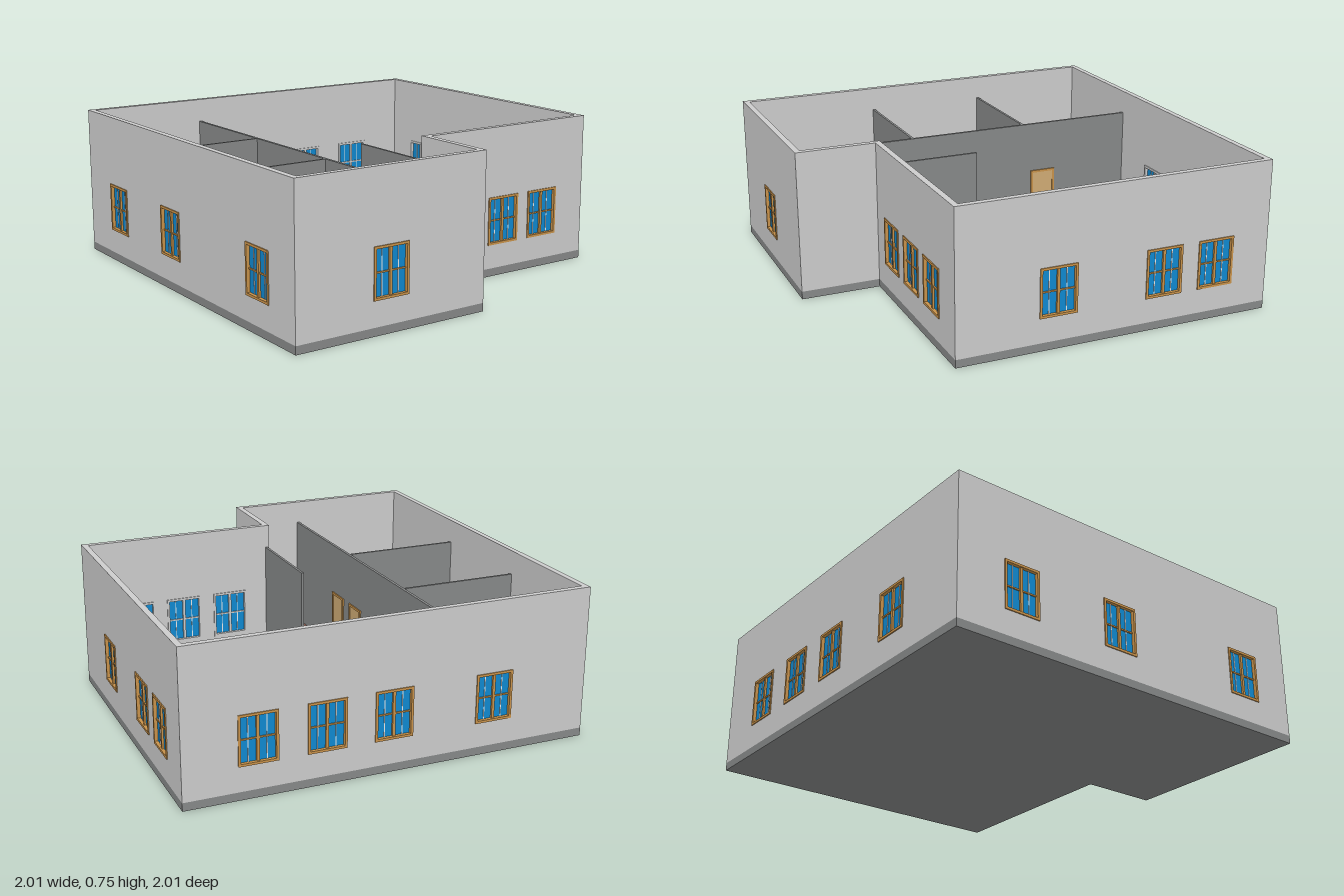
import * as THREE from 'three';

const mat = (name, color) => Object.assign(new THREE.MeshStandardMaterial({ color }), { name });

export function createModel() {
  const M = {
    wall: mat('wall', 0xcccccc), grey: mat('grey', 0x868888), floor: mat('floor', 0x8a5c4f),
    wood: mat('window wood', 0xc8924a), glass: mat('glass', 0x0f88cf), white: mat('white', 0xeeeeee),
    pale: mat('pale wood', 0xcfab74), black: mat('black', 0x121212),
  };
  const house = new THREE.Group();
  house.name = 'house';

  const group = (name, parent = house) => {
    const g = new THREE.Group();
    g.name = name;
    parent.add(g);
    return g;
  };
  // box given by its lower and upper corner
  const box = (parent, name, m, x0, x1, y0, y1, z0, z1) => {
    const mesh = new THREE.Mesh(new THREE.BoxGeometry(x1 - x0, y1 - y0, z1 - z0), m);
    mesh.position.set((x0 + x1) / 2, (y0 + y1) / 2, (z0 + z1) / 2);
    mesh.name = name;
    parent.add(mesh);
    return mesh;
  };

  // L-shaped slab, i = inset from the outer outline
  const slab = (name, m, i, y0, y1) => {
    const pts = [[-1 + i, -1 + i], [1 - i, -1 + i], [1 - i, 0.6 - i], [0.01 - i, 0.6 - i], [0.01 - i, 1 - i], [-1 + i, 1 - i]];
    const s = new THREE.Shape(pts.map(([x, z]) => new THREE.Vector2(x, -z)));
    const g = new THREE.ExtrudeGeometry(s, { depth: y1 - y0, bevelEnabled: false });
    g.rotateX(-Math.PI / 2);
    g.translate(0, y0, 0);
    const mesh = new THREE.Mesh(g, m);
    mesh.name = name;
    house.add(mesh);
  };
  slab('foundation', M.grey, 0, 0, 0.04);
  slab('floor', M.floor, 0.025, 0.04, 0.045);

  // Double window with wooden frame outside and pale frame inside
  const W = 0.09, Y0 = 0.165, Y1 = 0.4, T = 0.03;
  const addWindow = (parent, cx) => {
    const w = group('window', parent);
    w.position.x = cx;
    box(w, 'glass', M.glass, -W, W, Y0, Y1, -0.018, -0.012);
    const frame = (name, m, x0, x1, y0, y1, t, z0, z1) => {
      box(w, name, m, x0, x0 + t, y0, y1, z0, z1);
      box(w, name, m, x1 - t, x1, y0, y1, z0, z1);
      box(w, name, m, x0 + t, x1 - t, y0, y0 + t, z0, z1);
      box(w, name, m, x0 + t, x1 - t, y1 - t, y1, z0, z1);
    };
    frame('outerFrame', M.wood, -W - 0.004, W + 0.004, Y0 - 0.004, Y1 + 0.002, 0.012, -0.012, 0.005);
    frame('innerFrame', M.wall, -W - 0.004, W + 0.004, Y0 - 0.004, Y1 + 0.002, 0.012, -0.035, -0.018);
    box(w, 'centrePost', M.wood, -0.007, 0.007, Y0, Y1, -0.012, -0.002);
    box(w, 'innerPost', M.wall, -0.007, 0.007, Y0, Y1, -0.028, -0.018);
    for (const s of [-1, 1]) {
      const xs = [s * 0.007, s * W].sort((a, b) => a - b);
      box(w, 'crossBar', M.wood, xs[0], xs[1], 0.278, 0.285, -0.012, -0.006);
      box(w, 'innerCrossBar', M.wall, xs[0], xs[1], 0.278, 0.285, -0.024, -0.018);
      box(w, 'paneBar', M.white, s * 0.044 - 0.002, s * 0.044 + 0.002, Y0, Y1, -0.02, -0.009);
    }
  };

  // Outer wall with window openings; local +z points outward
  const wall = (name, len, x, z, turn, windows = []) => {
    const g = group(name);
    g.position.set(x, 0, z);
    g.rotation.y = turn * Math.PI / 2;
    const rect = (P, x0, x1, y0, y1) => {
      const p = new P();
      p.moveTo(x0, y0); p.lineTo(x1, y0); p.lineTo(x1, y1); p.lineTo(x0, y1); p.closePath();
      return p;
    };
    const shape = rect(THREE.Shape, -len / 2, len / 2, 0.04, 0.75);
    for (const c of windows) {
      shape.holes.push(rect(THREE.Path, c - W, c + W, Y0, Y1));
      addWindow(g, c);
    }
    const geo = new THREE.ExtrudeGeometry(shape, { depth: T, bevelEnabled: false });
    geo.translate(0, 0, -T);
    const mesh = new THREE.Mesh(geo, M.wall);
    mesh.name = 'wallPanel';
    g.add(mesh);
  };
  wall('frontWall', 1.01, -0.495, 1, 0, [-0.015]);
  wall('recessedFrontWall', 1.02, 0.49, 0.6, 0, [-0.28, -0.02, 0.235]);
  wall('recessSideWall', 0.42, 0.01, 0.79, 1);
  wall('leftWall', 1.6, 1, -0.2, 1, [-0.3, 0.24, 0.515]);
  wall('backWall', 2, 0, -1, 2, [0.51, 0, -0.325, -0.65]);
  wall('rightWall', 2, -1, 0, -1, [-0.66, -0.1, 0.7]);

  // Inner partitions
  const H = 0.63;
  box(house, 'longPartition', M.grey, -0.365, -0.35, 0.045, H, -0.97, 0.97);
  box(house, 'rearPartition', M.grey, -0.97, -0.365, 0.045, H, -0.366, -0.353);
  box(house, 'middlePartition', M.grey, -0.97, -0.365, 0.045, H, 0.264, 0.277);
  box(house, 'hallPartition', M.grey, -0.011, 0.002, 0.045, H, 0.065, 0.57);

  // Doors in the long partition
  for (const z of [-0.475, 0.17, 0.385]) {
    const d = group('door');
    box(d, 'doorLeaf', M.pale, -0.368, -0.347, 0.045, 0.355, z - 0.058, z + 0.058);
    for (const s of [-1, 1]) {
      box(d, 'doorJamb', M.wood, -0.372, -0.343, 0.045, 0.367, z + s * 0.064 - 0.006, z + s * 0.064 + 0.006);
      const knob = new THREE.Mesh(new THREE.SphereGeometry(0.005, 8, 6), M.black);
      knob.position.set(-0.3575 + s * 0.014, 0.19, z + 0.045);
      knob.name = 'doorKnob';
      d.add(knob);
    }
    box(d, 'doorHead', M.wood, -0.372, -0.343, 0.355, 0.367, z - 0.058, z + 0.058);
  }

  // Beds: length along local x, headboard at the low end
  const bed = (x, z, turn) => {
    const b = group('bed');
    b.position.set(x, 0.045, z);
    b.rotation.y = turn;
    box(b, 'bedFrame', M.pale, -0.122, 0.122, 0.02, 0.05, -0.09, 0.09);
    box(b, 'headboard', M.pale, -0.127, -0.12, 0, 0.12, -0.09, 0.09);
    box(b, 'mattress', M.wall, -0.12, 0.121, 0.05, 0.085, -0.086, 0.086);
    box(b, 'pillow', M.wall, -0.118, -0.085, 0.085, 0.1, -0.08, 0.08);
    for (const lx of [-0.11, 0.11]) for (const lz of [-0.08, 0.08])
      box(b, 'bedLeg', M.pale, lx - 0.008, lx + 0.008, 0, 0.02, lz - 0.008, lz + 0.008);
  };
  bed(-0.828, -0.865, 0);
  bed(-0.86, 0.447, -Math.PI / 2);

  // Cabinets in the bedrooms
  box(house, 'dresser', M.wall, -0.96, -0.81, 0.045, 0.19, -0.45, -0.37);
  box(house, 'desk', M.pale, -0.96, -0.8, 0.15, 0.165, 0.86, 0.94);
  for (const x of [-0.96, -0.81]) box(house, 'deskSide', M.pale, x, x + 0.01, 0.045, 0.15, 0.865, 0.935);

  // Kitchen counter, sink and end cabinet
  const k = group('kitchen');
  box(k, 'counter', M.wall, 0.885, 0.968, 0.045, 0.19, -0.885, -0.69);
  box(k, 'endCabinet', M.wall, 0.885, 0.968, 0.045, 0.19, -0.678, -0.61);
  box(k, 'cabinetGap', M.grey, 0.89, 0.968, 0.045, 0.185, -0.69, -0.678);
  box(k, 'sinkRim', M.black, 0.895, 0.94, 0.19, 0.192, -0.752, -0.707);
  box(k, 'sinkBasin', M.wall, 0.899, 0.936, 0.19, 0.193, -0.748, -0.711);
  box(k, 'tap', M.black, 0.922, 0.95, 0.2, 0.204, -0.732, -0.727);
  box(k, 'tapPost', M.black, 0.946, 0.95, 0.19, 0.2, -0.732, -0.727);

  // Sofa with its back towards the rear
  const sofa = group('sofa');
  box(sofa, 'sofaSeat', M.grey, 0.365, 0.612, 0.06, 0.092, 0.05, 0.155);
  box(sofa, 'sofaBack', M.grey, 0.35, 0.627, 0.06, 0.14, 0.04, 0.055);
  box(sofa, 'sofaBackTrim', M.black, 0.365, 0.612, 0.092, 0.11, 0.055, 0.058);
  for (const x of [0.348, 0.612]) {
    box(sofa, 'sofaArm', M.grey, x, x + 0.017, 0.06, 0.115, 0.055, 0.157);
    for (const z of [0.045, 0.15]) box(sofa, 'sofaLeg', M.black, x + 0.003, x + 0.013, 0.045, 0.06, z, z + 0.01);
  }

  // Stools
  for (const x of [0.413, 0.588]) {
    const s = group('stool');
    box(s, 'stoolSeat', M.wall, x - 0.038, x + 0.038, 0.128, 0.142, 0.223, 0.305);
    for (const lx of [x - 0.03, x + 0.03]) for (const lz of [0.231, 0.297])
      box(s, 'stoolLeg', M.wall, lx - 0.005, lx + 0.005, 0.045, 0.128, lz - 0.005, lz + 0.005);
  }

  // Upright piano against the recessed front wall
  const p = group('piano');
  box(p, 'pianoBody', M.black, 0.715, 0.895, 0.045, 0.235, 0.49, 0.53);
  box(p, 'pianoLid', M.black, 0.71, 0.9, 0.235, 0.245, 0.484, 0.535);
  box(p, 'keyShelf', M.black, 0.71, 0.9, 0.12, 0.145, 0.45, 0.49);
  for (const x of [0.712, 0.886]) box(p, 'pianoLeg', M.black, x, x + 0.012, 0.045, 0.12, 0.453, 0.466);

  return house;
}
